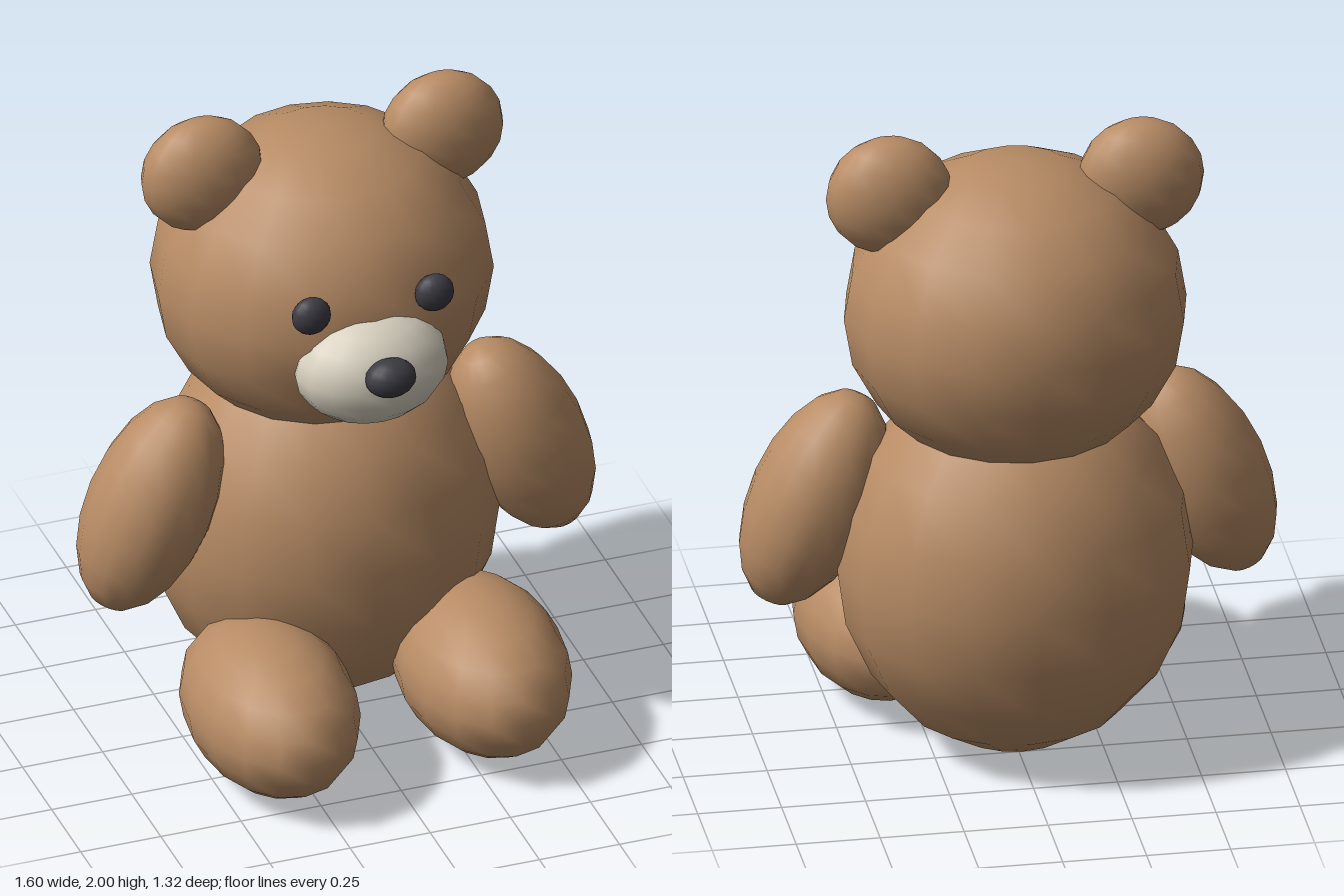
import * as THREE from 'three';

export function createModel() {
  const bear = new THREE.Group();
  bear.name = 'teddyBear';

  const mat = (name, color) => {
    const m = new THREE.MeshStandardMaterial({ color });
    m.name = name;
    return m;
  };
  const fur = mat('brownFur', 0xb88c65);
  const cream = mat('creamMuzzle', 0xd8d1c0);
  const dark = mat('darkFeatures', 0x3c3c44);

  // Every part is a smooth ellipsoid made from one shared ball
  const ball = new THREE.SphereGeometry(1, 16, 10);
  const part = (name, material, pos, radii, tilt = 0) => {
    const mesh = new THREE.Mesh(ball, material);
    mesh.name = name;
    mesh.position.set(...pos);
    mesh.scale.set(...radii);
    mesh.rotation.z = tilt;
    bear.add(mesh);
  };

  // Torso and head
  part('body', fur, [0, 0.61, -0.18], [0.53, 0.6, 0.475]);
  part('head', fur, [0, 1.42, -0.183], [0.51, 0.48, 0.475]);

  // Face
  part('muzzle', cream, [0, 1.325, 0.24], [0.235, 0.175, 0.175]);
  part('nose', dark, [0, 1.375, 0.41], [0.078, 0.06, 0.058]);

  // Mirrored parts
  for (const [side, s] of [['left', 1], ['right', -1]]) {
    part(side + 'Eye', dark, [s * 0.192, 1.54, 0.257], [0.06, 0.06, 0.041]);
    part(side + 'Ear', fur, [s * 0.375, 1.816, -0.18], [0.188, 0.184, 0.118]);
    part(side + 'Arm', fur, [s * 0.578, 0.79, -0.06], [0.19, 0.353, 0.19], s * 0.4);
    part(side + 'Leg', fur, [s * 0.33, 0.242, 0.28], [0.25, 0.24, 0.38]);
  }
  return bear;
}
